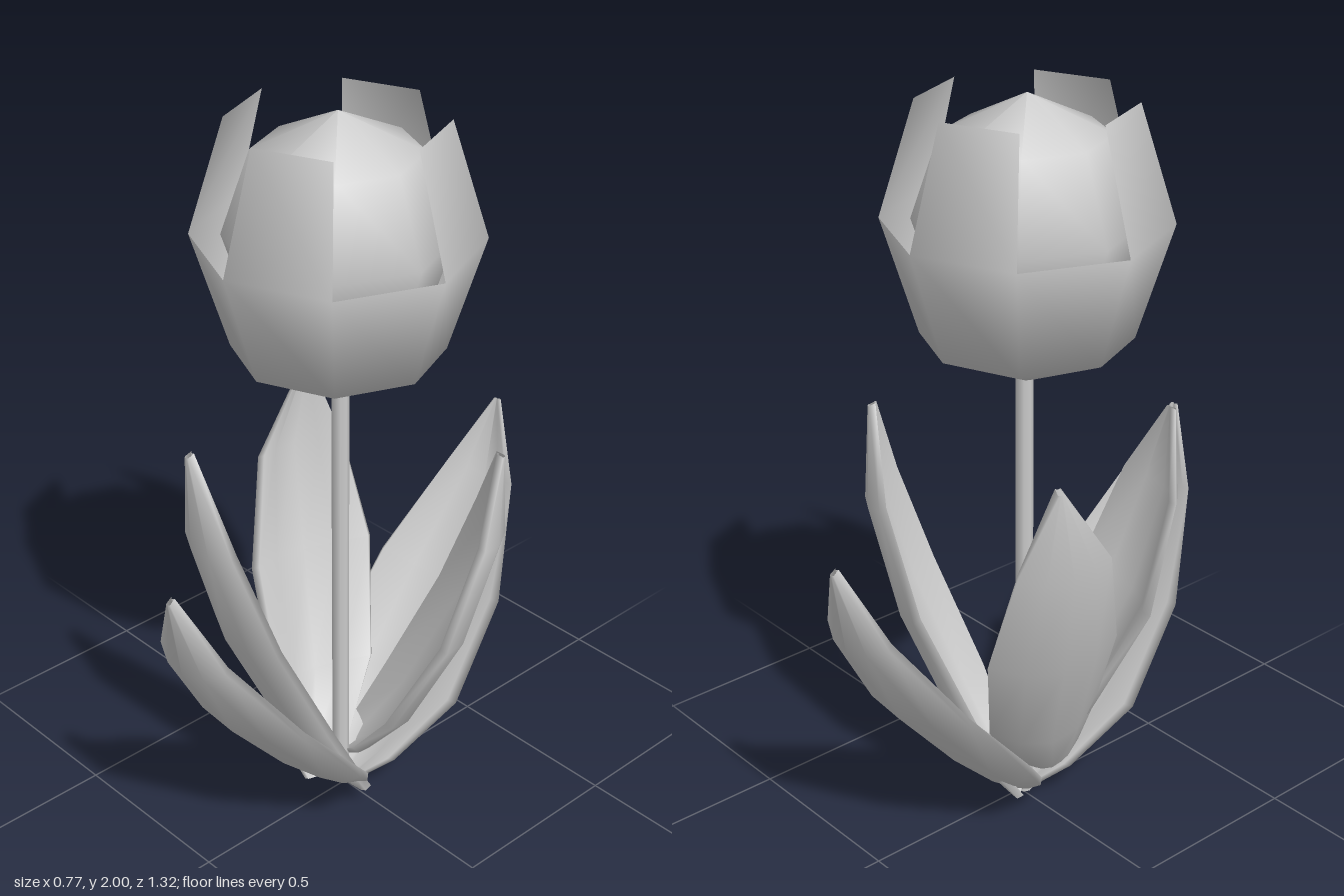
import * as THREE from 'three';

const material = new THREE.MeshStandardMaterial({ color: 0xcccccc, side: THREE.DoubleSide });

function addMesh(parent, name, geometry) {
  const mesh = new THREE.Mesh(geometry, material);
  mesh.name = name;
  parent.add(mesh);
  return mesh;
}

// Eight-sided surface of revolution from [radius, height] pairs
function lathe(points) {
  return new THREE.LatheGeometry(points.map(p => new THREE.Vector2(...p)), 8);
}

// Cup whose top band keeps every other side, leaving four upright petals
function cupGeometry() {
  const geometry = lathe([[0, 1.255], [0.27, 1.38], [0.363, 1.68], [0.27, 1.98]]);
  const bands = 3;
  const kept = Array.from(geometry.index.array).filter((_, i) => {
    const quad = Math.floor(i / 6);
    const side = Math.floor(quad / bands);
    return quad % bands < bands - 1 || side % 2 === 0;
  });
  geometry.setIndex(kept);
  return geometry;
}

// Cupped leaf leaning towards +z.
// Each row: [midrib z, midrib y, edge z, edge y, half width, sideways shift]
function leafGeometry(rows) {
  const thickness = 0.02;
  const across = [-1, -0.55, 0, 0.55, 1];
  const ring = across.length * 2;
  const positions = [];
  const index = [];
  for (const [mz, my, ez, ey, w, shift] of rows) {
    const point = (t, inset) => positions.push(
      shift + w * t * (1 - inset * 4),
      my + (ey - my) * t * t + inset * 0.5,
      mz + (ez - mz) * t * t - inset * 0.85);
    across.forEach(t => point(t, 0));            // underside
    across.forEach(t => point(-t, thickness));   // upper side
  }
  for (let i = 0; i < rows.length - 1; i++) {
    for (let j = 0; j < ring; j++) {
      const k = (j + 1) % ring;
      const a = i * ring + j, b = i * ring + k;
      index.push(a, b, b + ring, a, b + ring, a + ring);
    }
  }
  const geometry = new THREE.BufferGeometry();
  geometry.setAttribute('position', new THREE.Float32BufferAttribute(positions, 3));
  geometry.setIndex(index);
  geometry.computeVertexNormals();
  return geometry;
}

export function createModel() {
  const model = new THREE.Group();
  model.name = 'flower';

  // Stem
  const stem = addMesh(model, 'stem', new THREE.CylinderGeometry(0.023, 0.023, 1.27, 8));
  stem.position.set(-0.027, 0.665, -0.01);

  // Blossom: cup with petals and a rounded centre
  const blossom = new THREE.Group();
  blossom.name = 'blossom';
  blossom.position.set(-0.018, 0, 0.005);
  model.add(blossom);
  addMesh(blossom, 'cupAndPetals', cupGeometry());
  addMesh(blossom, 'centre',
    lathe([[0, 1.36], [0.21, 1.45], [0.285, 1.68], [0.21, 1.9], [0, 2]]));

  // Two wide, spreading leaves
  const wide = leafGeometry([
    [0, 0.005, 0, 0.02, 0.03, 0],
    [0.11, 0.085, 0.06, 0.11, 0.13, 0],
    [0.26, 0.23, 0.21, 0.27, 0.225, 0],
    [0.455, 0.455, 0.41, 0.5, 0.21, 0],
    [0.625, 0.725, 0.585, 0.76, 0.11, 0],
    [0.665, 0.96, 0.66, 0.96, 0.006, 0],
  ]);
  // Three tall leaves that lean sideways as they rise
  const tall = leafGeometry([
    [0.01, 0.05, 0, 0.06, 0.035, 0.09],
    [0.08, 0.11, 0.04, 0.13, 0.09, 0.06],
    [0.195, 0.275, 0.13, 0.31, 0.155, 0],
    [0.335, 0.58, 0.27, 0.61, 0.185, -0.04],
    [0.415, 0.88, 0.36, 0.9, 0.13, -0.055],
    [0.405, 1.13, 0.4, 1.13, 0.008, -0.09],
  ]);
  const leaves = [
    ['wideLeaf', wide, 7.4], ['wideLeaf', wide, 186],
    ['tallLeaf', tall, -15], ['tallLeaf', tall, 135], ['tallLeaf', tall, -105],
  ];
  for (const [name, geometry, degrees] of leaves) {
    addMesh(model, name, geometry).rotation.y = THREE.MathUtils.degToRad(degrees);
  }
  return model;
}
